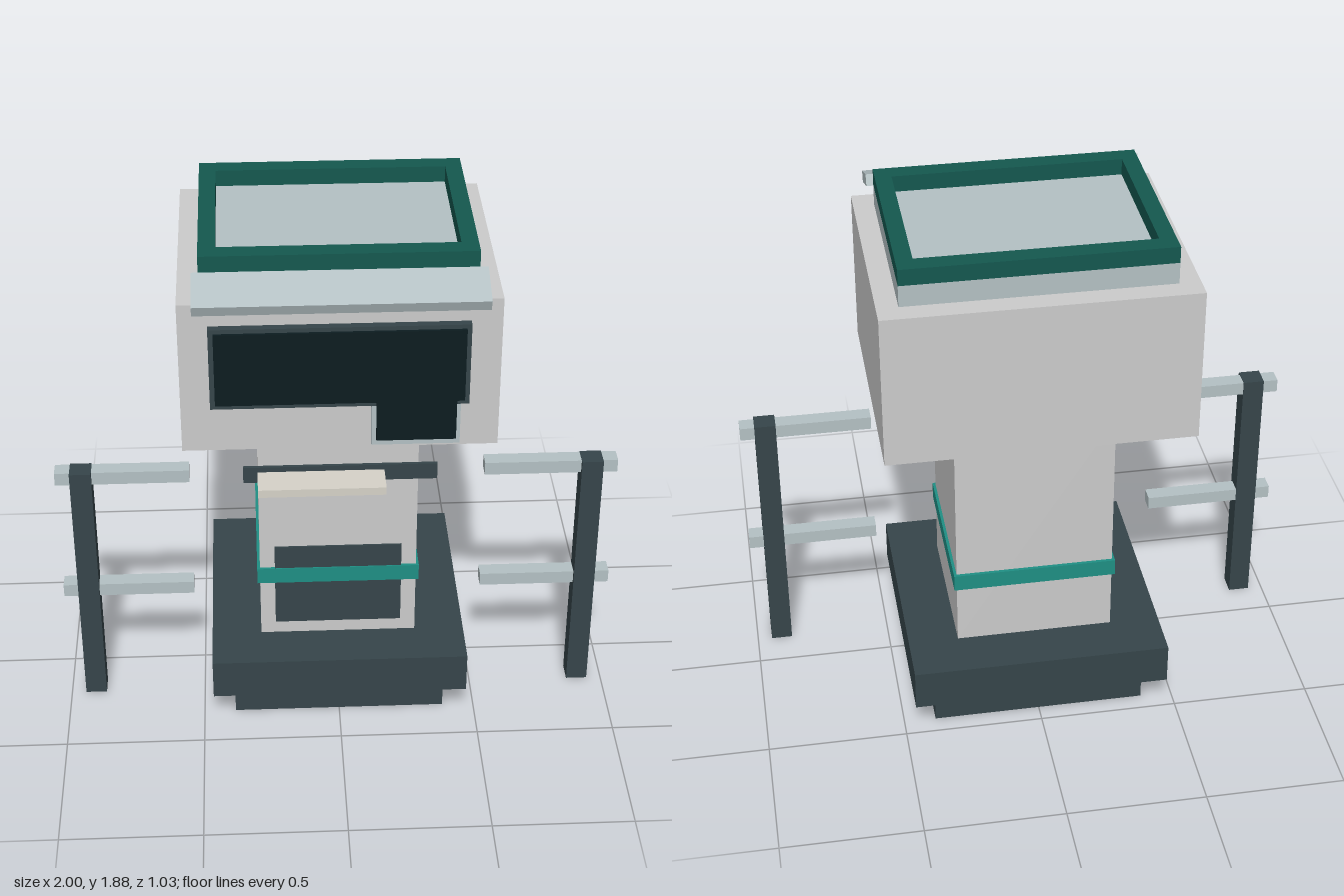
import * as THREE from 'three';

const mat = (color) => new THREE.MeshStandardMaterial({ color });

export function createModel() {
  const model = new THREE.Group();
  const body = mat(0xcccccc), slate = mat(0x36454a), pale = mat(0xb4c1c4);
  const teal = mat(0x1f8f84), deepTeal = mat(0x14584f), black = mat(0x0c1c20), cream = mat(0xd6d2c8);

  // Box given by its extents along each axis
  function box(name, material, [x0, x1], [y0, y1], [z0, z1], parent = model) {
    const mesh = new THREE.Mesh(new THREE.BoxGeometry(x1 - x0, y1 - y0, z1 - z0), material);
    mesh.position.set((x0 + x1) / 2, (y0 + y1) / 2, (z0 + z1) / 2);
    mesh.name = name;
    parent.add(mesh);
    return mesh;
  }

  // Stepped base and column
  box('plinth', slate, [-0.385, 0.385], [0, 0.132], [-0.435, 0.335]);
  box('baseSlab', slate, [-0.463, 0.463], [0.132, 0.283], [-0.512, 0.412]);
  box('column', body, [-0.283, 0.283], [0.283, 1.185], [-0.333, 0.233]);
  box('columnBand', teal, [-0.293, 0.293], [0.515, 0.577], [-0.345, 0.244]);
  box('servicePanel', slate, [-0.229, 0.229], [0.335, 0.668], [0.233, 0.24]);

  // Head and roof step
  box('head', body, [-0.537, 0.537], [1.185, 1.745], [-0.488, 0.387]);
  box('roofStep', pale, [-0.463, 0.463], [1.745, 1.822], [-0.412, 0.31]);

  // Raised rim around the roof
  const rimShape = new THREE.Shape([
    new THREE.Vector2(-0.463, -0.361), new THREE.Vector2(0.463, -0.361),
    new THREE.Vector2(0.463, 0.361), new THREE.Vector2(-0.463, 0.361),
  ]);
  rimShape.holes.push(new THREE.Path([
    new THREE.Vector2(-0.405, -0.294), new THREE.Vector2(-0.405, 0.294),
    new THREE.Vector2(0.405, 0.294), new THREE.Vector2(0.405, -0.294),
  ]));
  const rim = new THREE.Mesh(
    new THREE.ExtrudeGeometry(rimShape, { depth: 0.059, bevelEnabled: false }), deepTeal);
  rim.name = 'roofRim';
  rim.rotation.x = -Math.PI / 2;
  rim.position.set(0, 1.822, -0.051);
  model.add(rim);

  // Tilted visor over the screen
  const visor = box('visor', pale, [-0.485, 0.485], [1.777, 1.818], [0.336, 0.486]);
  visor.rotation.x = 0.37;

  // L-shaped screen with its two surrounds
  box('screenSurround', slate, [-0.437, 0.432], [1.362, 1.665], [0.387, 0.414]);
  box('lowerSurround', pale, [0.104, 0.404], [1.207, 1.362], [0.387, 0.413]);
  const screenShape = new THREE.Shape([
    [-0.42, 1.38], [0.12, 1.38], [0.12, 1.23], [0.39, 1.23], [0.39, 1.38],
    [0.416, 1.38], [0.416, 1.65], [-0.42, 1.65],
  ].map(([x, y]) => new THREE.Vector2(x, y)));
  const screen = new THREE.Mesh(
    new THREE.ExtrudeGeometry(screenShape, { depth: 0.012, bevelEnabled: false }), black);
  screen.name = 'screen';
  screen.position.z = 0.412;
  model.add(screen);

  // Slot plate with its tray
  box('slotPlate', slate, [-0.333, 0.333], [1.056, 1.117], [0.388, 0.4]);
  box('tray', cream, [-0.284, 0.151], [1.069, 1.098], [0.4, 0.513]);

  // Side railings
  for (const side of [-1, 1]) {
    const railing = new THREE.Group();
    railing.name = side > 0 ? 'leftRailing' : 'rightRailing';
    const span = (a, b) => (side > 0 ? [a, b] : [-b, -a]);
    box('railPost', slate, span(0.87, 0.947), [0, 0.977], [0.128, 0.203], railing);
    for (const y of [0.44, 0.926])
      box('railBar', pale, span(0.525, 1), [y, y + 0.049], [0.13, 0.189], railing);
    model.add(railing);
  }

  return model;
}
